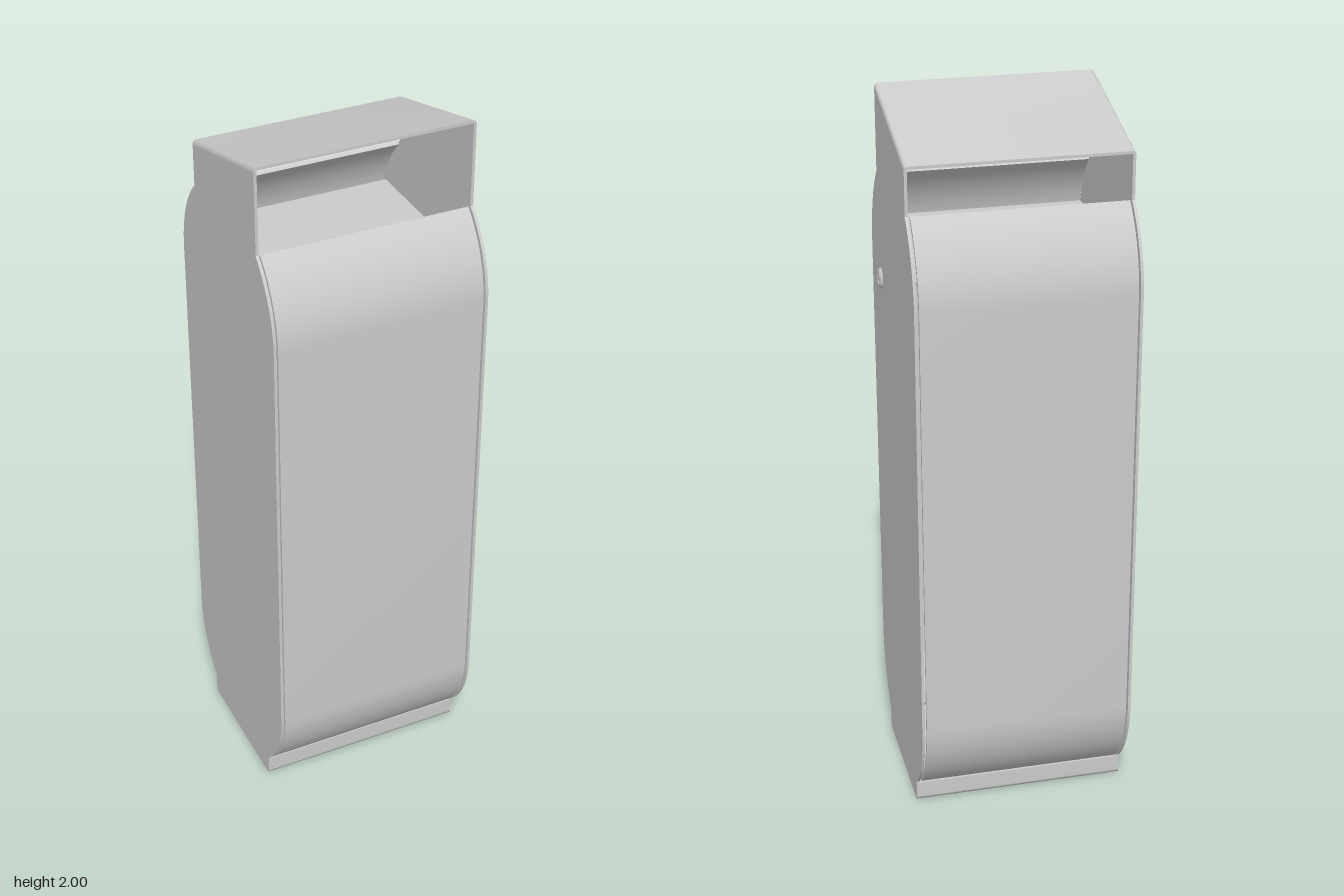
import * as THREE from 'three';
import { toCreasedNormals } from 'three/addons/utils/BufferGeometryUtils.js';

const LEFT = 0.297, RIGHT = -0.305, SHEET = 0.008; // outer faces and thickness of the sheet metal
const MID = (LEFT + RIGHT) / 2;
const R = 0.315, ARC = Math.acos((R - 0.1) / R);   // shoulder curve of sides and doors
const RISE = R * Math.sin(ARC);
const LOW = 0.065, HIGH = 1.76, SLOPE = 0.275;

const material = new THREE.MeshStandardMaterial({ color: 0xcccccc });

function add(parent, name, geometry) {
  const mesh = new THREE.Mesh(geometry, material);
  mesh.name = name;
  parent.add(mesh);
  return mesh;
}

// Extrudes a (z, y) outline along x, from x0 to x1
function extrudeX(shape, x0, x1) {
  const g = new THREE.ExtrudeGeometry(shape, { depth: x1 - x0, bevelEnabled: false, curveSegments: 16 });
  g.rotateY(-Math.PI / 2).translate(x1, 0, 0);
  return toCreasedNormals(g, 0.6);
}

// Points of the bulging curve from bottom to top, moved inward by inset
function bulge(inset) {
  const pts = [], n = 14, r = R - inset;
  for (let i = 0; i <= n; i++) {
    const a = ARC * (1 - i / n);
    pts.push(new THREE.Vector2(0.3 - R + r * Math.cos(a), LOW + RISE - r * Math.sin(a)));
  }
  for (let i = 0; i <= n; i++) {
    const a = ARC * (i / n);
    pts.push(new THREE.Vector2(0.3 - R + r * Math.cos(a), HIGH - RISE + r * Math.sin(a)));
  }
  return pts;
}

// Side panel: narrow foot, wide rounded body, sloping neck
function sideShape() {
  const edge = bulge(0), c = 0.015;
  const s = new THREE.Shape();
  s.moveTo(-0.2 + c, 0);
  s.lineTo(0.2 - c, 0);
  s.quadraticCurveTo(0.2, 0, 0.2, c);
  edge.forEach(p => s.lineTo(p.x, p.y));
  s.lineTo(0.2, 1.985);
  s.lineTo(-0.2, 1.985 - 0.4 * SLOPE);
  [...edge].reverse().forEach(p => s.lineTo(-p.x, p.y));
  s.lineTo(-0.2, c);
  s.quadraticCurveTo(-0.2, 0, -0.2 + c, 0);
  return s;
}

// Foot block with rounded lower edges
function baseShape() {
  const c = 0.015, s = new THREE.Shape();
  s.moveTo(-0.2 + c, 0);
  s.lineTo(0.2 - c, 0);
  s.quadraticCurveTo(0.2, 0, 0.2, c);
  s.lineTo(0.2, 0.06);
  s.lineTo(-0.2, 0.06);
  s.lineTo(-0.2, c);
  s.quadraticCurveTo(-0.2, 0, -0.2 + c, 0);
  return s;
}

// Lid: shallow folded sheet with rounded corners, sheared to slope to the back
function lidGeometry() {
  const s = new THREE.Shape(), r = 0.012, y = 1.98, top = 2;
  s.moveTo(RIGHT, y);
  s.lineTo(RIGHT + SHEET, y);
  s.lineTo(RIGHT + SHEET, top - SHEET);
  s.lineTo(LEFT - SHEET, top - SHEET);
  s.lineTo(LEFT - SHEET, y);
  s.lineTo(LEFT, y);
  s.lineTo(LEFT, top - r);
  s.quadraticCurveTo(LEFT, top, LEFT - r, top);
  s.lineTo(RIGHT + r, top);
  s.quadraticCurveTo(RIGHT, top, RIGHT, top - r);
  const g = new THREE.ExtrudeGeometry(s, { depth: 0.4, bevelEnabled: false, curveSegments: 6 });
  g.translate(0, 0, -0.2);
  const p = g.attributes.position;
  for (let i = 0; i < p.count; i++) p.setY(i, p.getY(i) + (p.getZ(i) - 0.2) * SLOPE);
  return toCreasedNormals(g, 0.6);
}

export function createModel() {
  const group = new THREE.Group();
  group.name = 'litterBin';

  // Sheet metal housing
  const housing = new THREE.Group();
  housing.name = 'housing';
  group.add(housing);
  add(housing, 'leftSidePanel', extrudeX(sideShape(), LEFT - SHEET, LEFT));
  add(housing, 'rightSidePanel', extrudeX(sideShape(), RIGHT, RIGHT + SHEET));
  add(housing, 'slopingLid', lidGeometry());
  add(housing, 'base', extrudeX(baseShape(), RIGHT + SHEET, LEFT - SHEET));

  // Curved doors, front and back, with a small gap to the side panels
  const doorShape = new THREE.Shape([...bulge(0), ...bulge(0.01).reverse()]);
  const half = 0.288;
  add(group, 'frontDoor', extrudeX(doorShape, -half, half)).position.x = MID - 0.001;
  const back = add(group, 'backDoor', extrudeX(doorShape, -half, half));
  back.rotation.y = Math.PI;
  back.position.x = MID;

  // Inner deck below the openings
  const deck = add(group, 'innerDeck', new THREE.BoxGeometry(2 * half, 0.01, 0.54));
  deck.position.set(MID, 1.605, 0);

  // Round lock on the left side
  const lock = new THREE.Group();
  lock.name = 'lock';
  lock.position.set(LEFT, 1.465, 0.17);
  lock.rotation.z = -Math.PI / 2;
  group.add(lock);
  const profile = [[0.029, -0.004], [0.029, 0.003], [0.022, 0.008], [0.016, 0.008], [0.015, 0.004], [0, 0.004]];
  const rim = new THREE.LatheGeometry(profile.map(p => new THREE.Vector2(...p)), 28);
  add(lock, 'lockRim', toCreasedNormals(rim, 0.4));
  add(lock, 'lockCore', new THREE.CylinderGeometry(0.011, 0.011, 0.004, 20)).position.y = 0.005;
  const bar = add(lock, 'lockKeyBar', new THREE.BoxGeometry(0.004, 0.003, 0.016));
  bar.position.y = 0.0065;
  bar.rotation.y = 0.7;

  return group;
}
